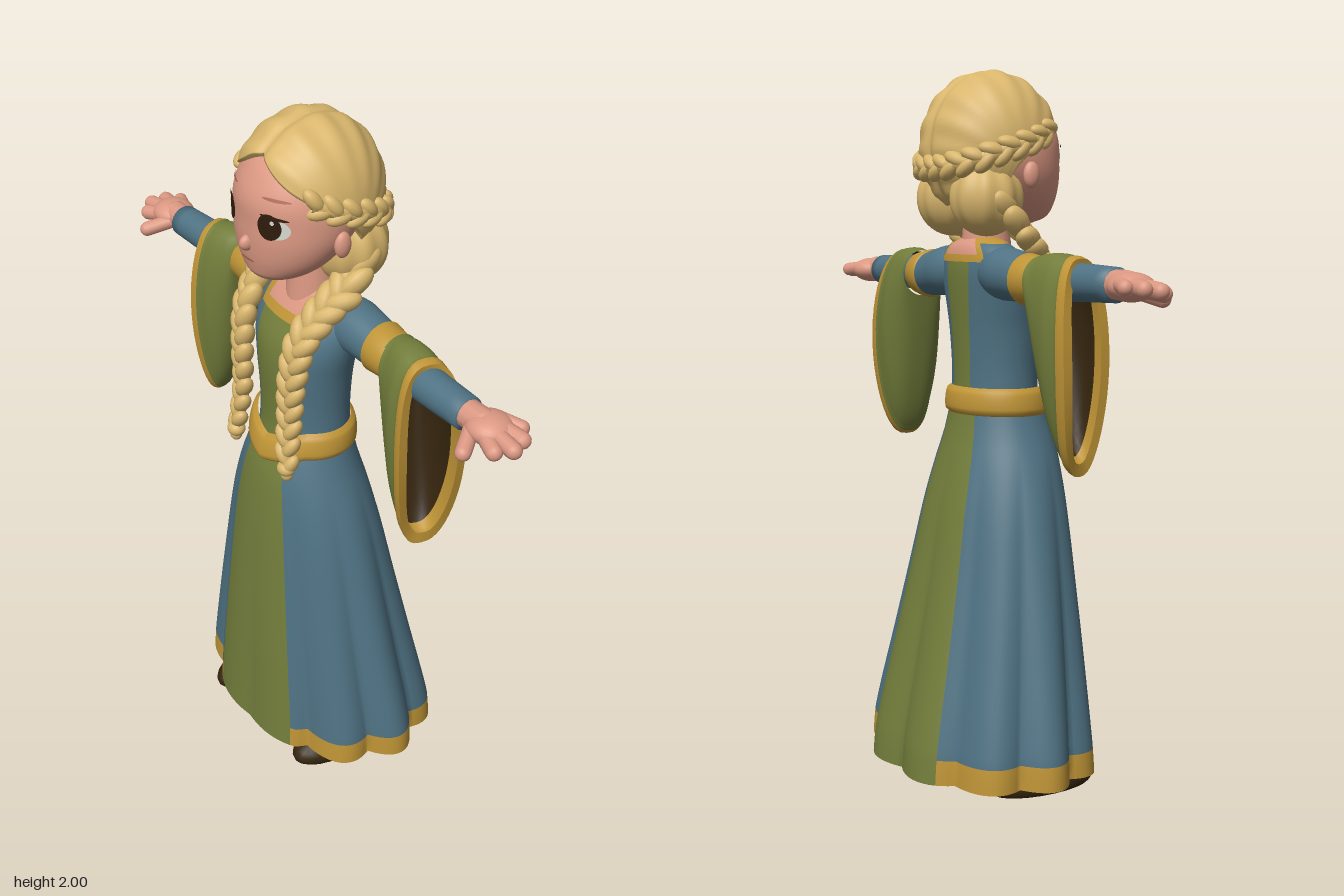
import * as THREE from 'three';
import { mergeGeometries } from 'three/addons/utils/BufferGeometryUtils.js';

const V = (x, y, z) => new THREE.Vector3(x, y, z);
const { sin, cos, abs, sqrt, exp, sign, atan2, PI, min, max } = Math;
const lerp = THREE.MathUtils.lerp;

const paint = (name, color) => {
  const m = new THREE.MeshStandardMaterial({ color });
  m.name = name;
  return m;
};

// Smooth curve through rows of [position, values...], read at position p
function spline(rows, p, k) {
  let i = 0;
  while (i < rows.length - 2 && p > rows[i + 1][0]) i++;
  const slope = (j) => {
    const a = rows[max(j - 1, 0)], b = rows[min(j + 1, rows.length - 1)];
    return (b[k] - a[k]) / (b[0] - a[0]);
  };
  const h = rows[i + 1][0] - rows[i][0], t = min(1, max(0, (p - rows[i][0]) / h));
  const t2 = t * t, t3 = t2 * t;
  return (2 * t3 - 3 * t2 + 1) * rows[i][k] + (t3 - 2 * t2 + t) * h * slope(i)
    + (3 * t2 - 2 * t3) * rows[i + 1][k] + (t3 - t2) * h * slope(i + 1);
}

// Closed tube of rings: fn(angle, v) gives a point, pick(angle, v) a material index
function loft(nu, vs, fn, pick = () => 0) {
  const pos = [], sets = [];
  for (const v of vs) for (let i = 0; i < nu; i++) pos.push(...fn((i / nu) * 2 * PI, v));
  for (let j = 0; j < vs.length - 1; j++) for (let i = 0; i < nu; i++) {
    let a = ((i + 0.5) / nu) * 2 * PI;
    if (a > PI) a -= 2 * PI;
    const m = pick(a, (vs[j] + vs[j + 1]) / 2), k = (i + 1) % nu;
    const A = j * nu + i, B = j * nu + k, C = B + nu, D = A + nu;
    (sets[m] ||= []).push(A, B, C, A, C, D);
  }
  const g = new THREE.BufferGeometry();
  g.setAttribute('position', new THREE.Float32BufferAttribute(pos, 3));
  g.setIndex(sets.flat());
  let start = 0;
  sets.forEach((s, m) => { g.addGroup(start, s.length, m); start += s.length; });
  g.computeVertexNormals();
  return g;
}
const steps = (a, b, n) => Array.from({ length: n + 1 }, (_, i) => lerp(a, b, i / n));

// Oval ring around the body: rows are [y, half width, front z, back z]
const oval = (rows, a, y, grow = 0, mul = 1) => {
  const w = spline(rows, y, 1), f = spline(rows, y, 2), b = spline(rows, y, 3);
  return [(w + grow) * mul * sin(a), y, (f + b) / 2 + ((f - b) / 2 + grow) * mul * cos(a)];
};

const ball = (x, y, z, rx, ry, rz) =>
  new THREE.SphereGeometry(1, 24, 16).scale(rx, ry, rz).translate(x, y, z);

function limb(a, b, r) {
  const d = b.clone().sub(a), g = new THREE.CapsuleGeometry(r, d.length(), 6, 12);
  g.applyQuaternion(new THREE.Quaternion().setFromUnitVectors(V(0, 1, 0), d.normalize()));
  return g.translate(...a.clone().add(b).multiplyScalar(0.5).toArray());
}

// Plait: tilted lumps alternating along a path, over a thin core
function plait(points, n, r0, r1, outward) {
  const path = new THREE.CatmullRomCurve3(points);
  const parts = [new THREE.TubeGeometry(path, 40, r1 * 0.6, 8)];
  for (let i = 0; i <= n; i++) {
    const t = i / n, r = lerp(r0, r1, t), s = i % 2 ? 1 : -1;
    const p = path.getPointAt(t), tan = path.getTangentAt(t), out = outward(p);
    out.addScaledVector(tan, -out.dot(tan)).normalize();
    const side = tan.clone().cross(out);
    const g = new THREE.SphereGeometry(1, 14, 10).scale(r * 0.62, r * 1.15, r * 0.72).rotateZ(s * 0.55);
    g.applyMatrix4(new THREE.Matrix4().makeBasis(side, tan, out));
    const c = p.clone().addScaledVector(side, s * r * 0.38);
    parts.push(g.translate(c.x, c.y, c.z));
  }
  return mergeGeometries(parts);
}

function mirrored(g) {
  const m = g.clone().scale(-1, 1, 1), ix = m.index.array;
  for (let i = 0; i < ix.length; i += 3) [ix[i], ix[i + 1]] = [ix[i + 1], ix[i]];
  return m;
}

const SKIRT = [[0.055, 0.394, 0.282, -0.275], [0.14, 0.388, 0.277, -0.267], [0.4, 0.337, 0.263, -0.213],
  [0.6, 0.295, 0.25, -0.171], [0.8, 0.249, 0.236, -0.131], [0.92, 0.211, 0.223, -0.101],
  [1.0, 0.177, 0.209, -0.08], [1.08, 0.148, 0.18, -0.066]];
const TORSO = [[1.05, 0.145, 0.175, -0.065], [1.12, 0.143, 0.165, -0.06], [1.2, 0.144, 0.165, -0.06],
  [1.3, 0.155, 0.168, -0.065], [1.38, 0.173, 0.158, -0.07], [1.45, 0.183, 0.122, -0.072],
  [1.5, 0.165, 0.09, -0.066], [1.53, 0.12, 0.065, -0.055], [1.55, 0.05, 0.045, -0.03]];
const BELT = [[1.0, 0.185, 0.216, -0.084], [1.06, 0.162, 0.196, -0.074], [1.15, 0.148, 0.172, -0.066]];
const HEAD = [[1.58, 0.004, 0.155, 0.13], [1.6, 0.07, 0.205, 0.06], [1.64, 0.125, 0.223, 0],
  [1.7, 0.162, 0.231, -0.06], [1.76, 0.175, 0.231, -0.1], [1.82, 0.17, 0.229, -0.11],
  [1.88, 0.15, 0.202, -0.1], [1.92, 0.115, 0.165, -0.07], [1.97, 0.01, 0.05, 0.03]];
// [x, radius, centre y, centre z]
const ARM = [[0.06, 0.05, 1.45, 0], [0.14, 0.072, 1.45, 0], [0.2, 0.069, 1.446, 0], [0.27, 0.063, 1.437, 0],
  [0.34, 0.054, 1.437, 0.005], [0.46, 0.05, 1.438, 0.02], [0.62, 0.045, 1.437, 0.025]];
// Lower edge of the hair by angle from the front, in degrees
const HAIRLINE = [[0, 1.932], [12, 1.916], [25, 1.892], [40, 1.864], [60, 1.828], [78, 1.785], [94, 1.74],
  [108, 1.67], [140, 1.64], [180, 1.63]];

export function createModel() {
  const model = new THREE.Group();
  const blue = paint('blueCloth', 0x4f7283), green = paint('greenCloth', 0x727d3b);
  const gold = paint('goldTrim', 0xbf9436), skin = paint('skin', 0xdb9882);
  const hair = paint('blondHair', 0xd8b56c), brown = paint('darkBrown', 0x34240d);
  const white = paint('eyeWhite', 0xd8d8d2), iris = paint('darkEye', 0x2e1c0c), lip = paint('lipAndBrow', 0xab6a55);
  const add = (name, geo, mat) => {
    const m = new THREE.Mesh(geo, mat);
    m.name = name;
    model.add(m);
  };
  const pair = (name, geo, mat) => {
    add('left' + name, geo, mat);
    add('right' + name, mirrored(geo), mat);
  };

  // Skirt: scalloped folds that fade upward, green panels front and back, gold hem between
  const panel = 27.01 * PI / 180;
  const inPanel = (a) => abs(a) < panel || abs(a) > PI - panel;
  const skirtPoint = (a, y) => {
    const k = max(0, 1 - y / 0.95) ** 0.8 * (cos(a) > 0.85 ? 0.35 : 1);
    const p = oval(SKIRT, a, y, 0, 1 + 0.13 * k * (abs(sin(5 * a)) - 0.6));
    p[1] += 0.012 * sin(a) ** 2 * max(0, 1 - y / 0.5);
    return p;
  };
  add('skirt', loft(120, [0.055, 0.09, 0.125, ...steps(0.15, 1.08, 24)], skirtPoint,
    (a, y) => (inPanel(a) ? 1 : y < 0.125 ? 2 : 0)), [blue, green, gold]);
  add('skirtUnderside', loft(120, [0, 0.82, 1], (a, v) => {
    const [x, y, z] = skirtPoint(a, 0.055);
    return [x * v, v < 1 ? 0.07 : y, z * v];
  }, (a, v) => (v > 0.85 && !inPanel(a) ? 1 : 0)), [green, gold]);

  // Bodice with square neckline
  add('bodice', loft(120, [...steps(1.05, 1.44, 20), 1.452, 1.465, 1.48, 1.49, 1.5, 1.51, 1.52, 1.53, 1.54, 1.55],
    (a, y) => oval(TORSO, a, y), (a, y) => {
      const front = abs(a) < PI / 2, d = front ? abs(a) : PI - abs(a), neck = front ? 1.465 : 1.5;
      if (y > neck && d < 0.52) return 3;
      if (y > neck - 0.025 && d < 0.7 || y > 1.53) return 2;
      return d < (front ? 0.52 : 0.34) ? 1 : 0;
    }), [blue, green, gold, skin]);

  // Belt dipping to a point at the front
  add('belt', loft(120, steps(0, 1, 8), (a, v) => {
    const d = min(a, 2 * PI - a), y = 1.055 - 0.037 * max(0, 1 - d / 0.9) + 0.077 * v;
    return oval(BELT, a, y, -0.006 + 0.015 * max(0, sin(PI * v)) ** 0.3);
  }), gold);

  // Arms with gold bands
  pair('Arm', loft(32, [...steps(0.06, 0.255, 8), 0.26, 0.262, 0.295, 0.328, 0.33, ...steps(0.34, 0.62, 8), 0.63], (a, x) => {
    const r = x > 0.625 ? 0 : spline(ARM, x, 1) + (x > 0.261 && x < 0.329 ? 0.007 : 0);
    return [min(x, 0.62), spline(ARM, x, 2) + r * cos(a), spline(ARM, x, 3) + r * sin(a)];
  }, (a, x) => (x > 0.26 && x < 0.33 ? 1 : 0)), [blue, gold]);

  // Hanging sleeve: s runs from the band to the slanted opening, inset shrinks the ring
  const sleeve = (a, s, inset = 0) => {
    const top = 1.503 + 0.012 * sin(PI * s) - 0.008 * s - inset;
    const bottom = 1.37 - 0.43 * sin(s * PI / 2) ** 0.85 + inset * 1.2;
    const c = cos(a), side = sign(sin(a)) * abs(sin(a)) ** lerp(1, 0.75, min(1, s * 4));
    const t = (1 - c) / 2;
    const half = lerp(0.064, 0.092, min(1, s * 1.8)) - inset;
    const open = 0.472 + 0.028 * sin(PI * t) - 0.026 * side;
    return [lerp(0.325, open, s), (top + bottom) / 2 + ((top - bottom) / 2) * c,
      0.022 * s + half * side * (1 - 0.15 * s * t)];
  };
  pair('Sleeve', loft(48, [...steps(0, 0.82, 14), 0.84, 0.92, 1],
    (a, s) => sleeve(a, s, s > 0.83 ? -0.004 : 0), (a, s) => (s > 0.83 ? 1 : 0)), [green, gold]);
  pair('SleeveRim', loft(48, [0, 1], (a, v) => sleeve(a, 1, lerp(-0.004, 0.024, v))), gold);
  // Lining: gold facing inside the rim, dark further in, closed around the arm
  pair('SleeveLining', loft(48, [1, 0.92, 0.8, ...steps(0.7, 0.08, 8), -0.1],
    (a, s) => (s < 0 ? [0.35, 1.437, 0.005] : sleeve(a, s, lerp(0.006, 0.024, s))),
    (a, s) => (s > 0.8 ? 1 : 0)), [brown, gold]);

  // Hands, tilted a little down towards the thumb
  pair('Hand', mergeGeometries([
    ball(0.69, 1.435, 0.018, 0.062, 0.037, 0.06),
    limb(V(0.6, 1.438, 0.024), V(0.67, 1.438, 0.022), 0.038),
    limb(V(0.66, 1.426, 0.05), V(0.698, 1.403, 0.108), 0.021),
    limb(V(0.7, 1.43, 0.045), V(0.757, 1.42, 0.065), 0.022),
    limb(V(0.71, 1.437, 0.026), V(0.788, 1.428, 0.032), 0.022),
    limb(V(0.71, 1.44, 0.002), V(0.775, 1.433, -0.008), 0.022),
    limb(V(0.69, 1.442, -0.018), V(0.74, 1.436, -0.038), 0.02),
  ]), skin);

  // Shoes with flat soles
  const shoe = ball(0, 0.02, 0, 0.077, 0.062, 0.167), sp = shoe.attributes.position;
  for (let i = 0; i < sp.count; i++) sp.setY(i, max(0, sp.getY(i)));
  shoe.computeVertexNormals();
  pair('Shoe', shoe.translate(0.205, 0, 0.085), brown);

  // Head, neck, nose and ears
  add('neck', new THREE.CylinderGeometry(0.058, 0.075, 0.2, 24).translate(0, 1.56, 0.025), skin);
  add('head', loft(48, [...steps(1.58, 1.62, 6), ...steps(1.635, 1.97, 22)], (a, y) => oval(HEAD, a, y)), skin);
  add('nose', ball(0, 1.702, 0.226, 0.016, 0.022, 0.026), skin);
  pair('Ear', ball(0.174, 1.715, 0.062, 0.017, 0.036, 0.024), skin);

  // Painted face details lie on the head surface
  const patch = (x, y, rx, ry, lift, tilt = 0) => {
    const g = new THREE.RingGeometry(0.001, 1, 28, 5).scale(rx, ry, 1).rotateZ(tilt).translate(x, y, 0);
    const p = g.attributes.position;
    for (let i = 0; i < p.count; i++) {
      const px = p.getX(i), py = p.getY(i), w = spline(HEAD, py, 1), f = spline(HEAD, py, 2), b = spline(HEAD, py, 3);
      p.setZ(i, (f + b) / 2 + ((f - b) / 2) * sqrt(max(0, 1 - (px / w) ** 2)) + lift);
    }
    g.computeVertexNormals();
    return g;
  };
  pair('EyeWhite', patch(0.09, 1.768, 0.035, 0.028, 0.003), white);
  pair('Iris', patch(0.078, 1.772, 0.03, 0.035, 0.005), iris);
  pair('EyeGlint', patch(0.088, 1.786, 0.005, 0.006, 0.007), white);
  pair('UpperLid', patch(0.09, 1.799, 0.034, 0.0045, 0.006, -0.12), iris);
  pair('Brow', patch(0.085, 1.842, 0.034, 0.004, 0.004, -0.05), lip);
  add('mouth', patch(0, 1.657, 0.026, 0.004, 0.004), lip);

  // Hair cap: centre parting, strands sweeping from it to the sides, tucked-in edge
  add('hairCap', loft(160, [-0.06, 0, ...steps(0.025, 1, 36)], (a, v) => {
    const deg = min(a, 2 * PI - a) * 180 / PI;
    const low = Math.acos((spline(HAIRLINE, deg, 1) - 1.79) / 0.208);
    const t = low * (1 - max(v, 0));
    const x = sin(t) * sin(a), y = cos(t), z = sin(t) * cos(a);
    const strands = 0.016 * cos(20 * atan2(z, y + 0.35)) * (1 - x * x) * min(1, abs(x) * 4);
    const r = (1 + strands - 0.045 * exp(-((x / 0.09) ** 2))) * (v < 0 ? 0.86 : 1 + 0.02 * v);
    return [0.188 * x * r, 1.79 + 0.21 * y * r, 0.03 + (z > 0 ? 0.205 : 0.19) * z * r];
  }), hair);

  // Gathered hair behind the neck
  pair('HairRoll', loft(64, steps(0, PI, 20), (a, t) => {
    const r = sin(t) * (1 + 0.035 * cos(9 * a));
    return [0.092 + 0.094 * r * sin(a), 1.655 - 0.105 * cos(t), -0.03 + 0.1 * r * cos(a)];
  }), hair);

  // Crown plait around the back of the head
  const half = [[0.145, 1.835, 0.135], [0.176, 1.808, 0.07], [0.181, 1.787, 0], [0.153, 1.757, -0.085], [0.085, 1.74, -0.135]];
  add('crownPlait', plait([...half.map((p) => V(...p)), V(0, 1.735, -0.146),
    ...half.slice().reverse().map(([x, y, z]) => V(-x, y, z))], 32, 0.033, 0.033, (p) => V(p.x, 0, p.z - 0.02)), hair);

  // Long plaits over the shoulders, ending in small tufts
  pair('Plait', plait([V(0.14, 1.63, -0.01), V(0.155, 1.575, 0.035), V(0.14, 1.52, 0.095), V(0.124, 1.44, 0.155),
    V(0.113, 1.33, 0.178), V(0.108, 1.2, 0.185), V(0.114, 1.1, 0.198), V(0.118, 1.068, 0.202)], 24, 0.05, 0.031,
    () => V(0.3, 0.3, 1)), hair);
  pair('PlaitTuft', mergeGeometries([ball(0.118, 1.055, 0.205, 0.027, 0.022, 0.025),
    ball(0.12, 1.037, 0.205, 0.018, 0.022, 0.017)]), hair);

  return model;
}
